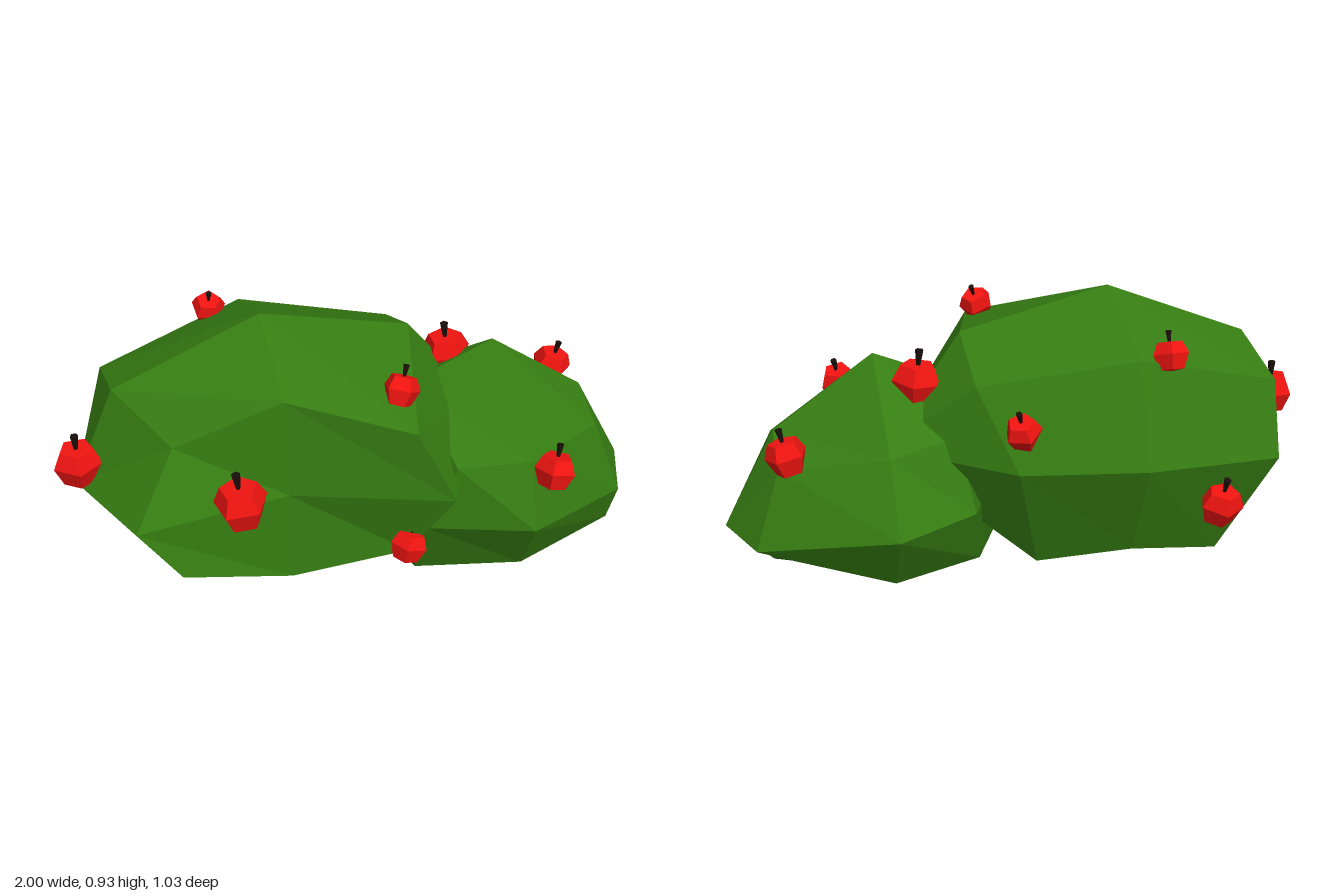
import * as THREE from 'three';

const leafMat = new THREE.MeshStandardMaterial({ color: 0x367d12 });
const fruitMat = new THREE.MeshStandardMaterial({ color: 0xf01410 });
const stemMat = new THREE.MeshStandardMaterial({ color: 0x1a0f0a });
for (const m of [leafMat, fruitMat, stemMat]) m.flatShading = true;

// Faceted closed body: eight-point rings (top, front, bottom, back) between two end points
function facetedBody(startPoint, rings, endPoint) {
  const loops = [Array(8).fill(startPoint), ...rings, Array(8).fill(endPoint)];
  const pos = [];
  const tri = (a, b, c) => {
    if (a !== b && b !== c && a !== c) pos.push(...a, ...b, ...c);
  };
  for (let i = 0; i < loops.length - 1; i++) {
    for (let j = 0; j < 8; j++) {
      const k = (j + 1) % 8;
      const a = loops[i][j], d = loops[i][k], b = loops[i + 1][j], c = loops[i + 1][k];
      tri(a, d, c);
      tri(a, c, b);
    }
  }
  const geo = new THREE.BufferGeometry();
  geo.setAttribute('position', new THREE.Float32BufferAttribute(pos, 3));
  geo.computeVertexNormals();
  return geo;
}

// Fruit: chunky five-sided body with a stem that widens upward
const fruitGeo = new THREE.LatheGeometry(
  [[0, -0.95], [0.75, -0.85], [1.12, 0.08], [0.78, 0.8], [0, 0.8]].map(p => new THREE.Vector2(...p)), 5);
const stemGeo = new THREE.CylinderGeometry(0.19, 0.09, 0.75, 5);

function fruit([x, y, z], radius, tiltX, tiltZ, turn) {
  const group = new THREE.Group();
  group.name = 'fruit';
  const body = new THREE.Mesh(fruitGeo, fruitMat);
  body.name = 'fruitBody';
  const stem = new THREE.Mesh(stemGeo, stemMat);
  stem.name = 'fruitStem';
  stem.position.y = 1.12;
  group.add(body, stem);
  group.position.set(x, y, z);
  group.rotation.set(tiltX, turn, tiltZ, 'XZY');
  group.scale.setScalar(radius);
  return group;
}

export function createModel() {
  const model = new THREE.Group();
  model.name = 'fruitBush';

  // Large leafy mound
  const large = new THREE.Mesh(facetedBody([-0.94, 0.39, -0.03], [
    [[-0.79, 0.73, -0.03], [-0.64, 0.63, 0.20], [-0.79, 0.40, 0.31], [-0.66, 0.22, 0.34],
      [-0.64, 0.03, -0.03], [-0.64, 0.025, -0.27], [-0.80, 0.40, -0.38], [-0.80, 0.65, -0.30]],
    [[-0.30, 0.93, -0.03], [-0.30, 0.79, 0.28], [-0.30, 0.46, 0.32], [-0.30, 0.13, 0.33],
      [-0.30, 0.03, -0.03], [-0.30, 0.12, -0.37], [-0.30, 0.47, -0.515], [-0.30, 0.79, -0.38]],
    [[0.20, 0.81, -0.03], [0.08, 0.71, 0.45], [0.20, 0.46, 0.495], [0.08, 0.20, 0.39],
      [0.04, 0.03, -0.03], [0.00, 0.06, -0.27], [0.09, 0.45, -0.40], [0.20, 0.71, -0.27]],
  ], [0.48, 0.45, -0.09]), leafMat);
  large.name = 'largeFoliage';

  // Small leafy mound
  const small = new THREE.Mesh(facetedBody([0.05, 0.30, 0.03], [
    [[0.20, 0.62, 0.03], [0.23, 0.52, 0.41], [0.14, 0.28, 0.39], [0.14, 0.03, 0.29],
      [0.08, 0.03, 0.03], [0.18, 0.06, -0.20], [0.21, 0.28, -0.30], [0.25, 0.52, -0.21]],
    [[0.48, 0.74, 0.03], [0.48, 0.51, 0.43], [0.48, 0.28, 0.505], [0.50, 0.03, 0.37],
      [0.48, 0.03, 0.03], [0.48, 0.06, -0.30], [0.48, 0.28, -0.435], [0.48, 0.50, -0.29]],
    [[0.82, 0.50, 0.03], [0.82, 0.43, 0.19], [0.91, 0.17, 0.25], [0.91, 0, 0.19],
      [0.85, 0.02, 0.03], [0.80, 0.09, -0.12], [0.91, 0.17, -0.18], [0.82, 0.43, -0.13]],
  ], [1, 0.17, 0.03]), leafMat);
  small.name = 'smallFoliage';
  model.add(large, small);

  // Fruits: position, radius, lean about x, lean about z, turn
  const fruits = [
    [[-0.925, 0.48, -0.01], 0.074, 0, 0, 0],
    [[-0.46, 0.48, 0.345], 0.08, 0, 0.1, 0.5],
    [[0.07, 0.785, 0.305], 0.054, -0.35, -0.3, 0.2],
    [[0.07, 0.25, 0.42], 0.056, -0.2, -0.3, 0.9],
    [[0.35, 0.66, -0.06], 0.075, 0, 0.1, 0.3],
    [[0.55, 0.48, 0.455], 0.062, -0.2, -0.2, 0.7],
    [[0.79, 0.48, -0.14], 0.064, 0.1, -0.2, 0.1],
    [[-0.41, 0.79, -0.35], 0.053, 0.4, 0, 0.4],
    [[0.07, 0.58, -0.36], 0.056, -0.3, -0.25, 0.8],
    [[-0.58, 0.28, -0.43], 0.068, -0.2, 0.1, 0.6],
  ];
  for (const f of fruits) model.add(fruit(...f));
  return model;
}
